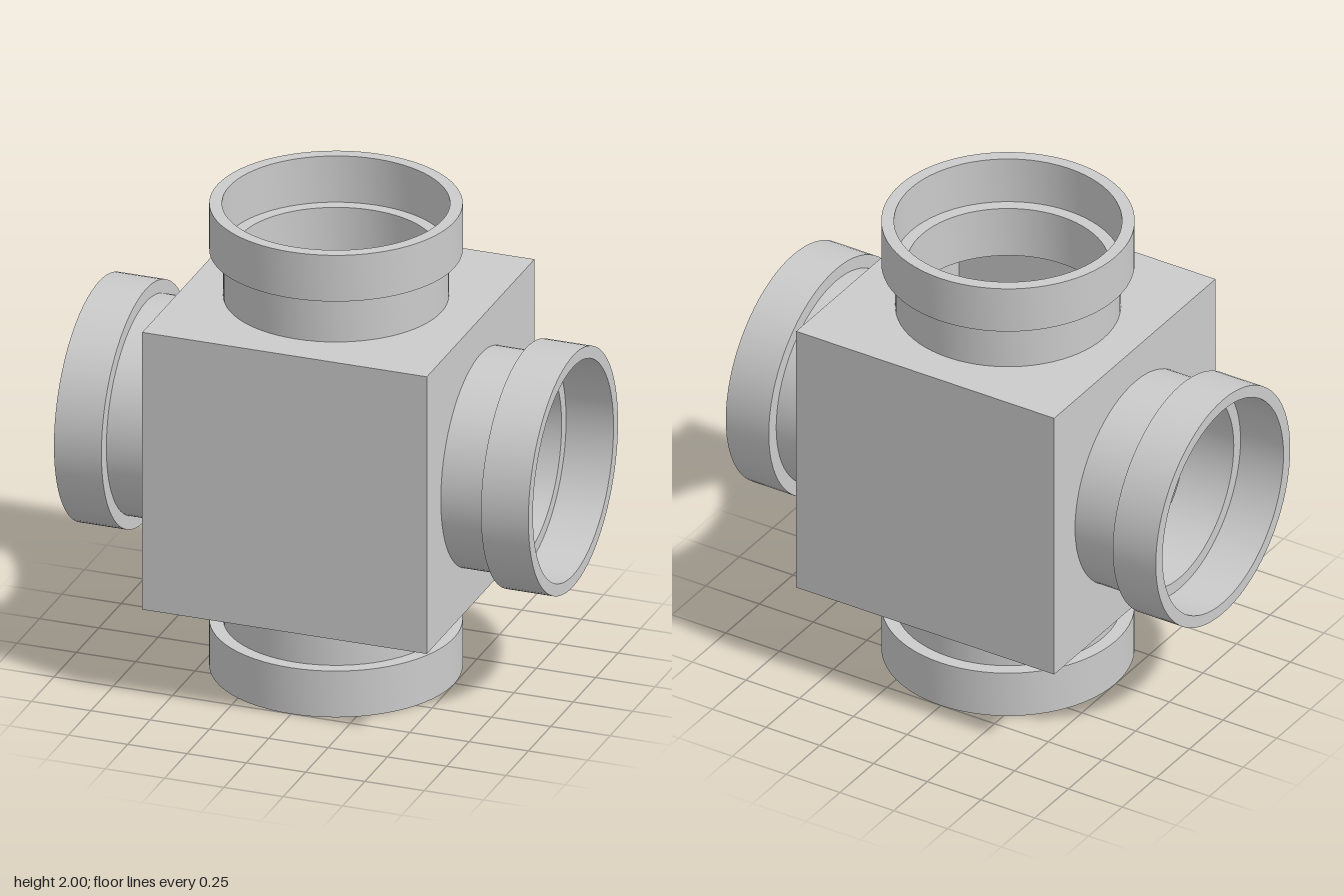
import * as THREE from 'three';
import { toCreasedNormals } from 'three/addons/utils/BufferGeometryUtils.js';

const SIZE = 1.2, WALL = 0.02, SHIFT = 0.01;

// Flat panel facing +y, with a round port through it
function portPanel(width, depth) {
  const shape = new THREE.Shape();
  shape.moveTo(-width / 2, -depth / 2);
  shape.lineTo(width / 2, -depth / 2);
  shape.lineTo(width / 2, depth / 2);
  shape.lineTo(-width / 2, depth / 2);
  shape.closePath();
  shape.holes.push(new THREE.Path().absarc(0, 0, 0.42, 0, Math.PI * 2, true));
  const geo = new THREE.ExtrudeGeometry(shape, { depth: WALL, bevelEnabled: false, curveSegments: 64 });
  return geo.rotateX(-Math.PI / 2).translate(0, SIZE / 2 - WALL, 0);
}

// Neck and wider socket along +y, with an inner stop shoulder
function socketGeometry() {
  const profile = [
    [0.4, 0.58], [0.445, 0.58], [0.445, 0.8], [0.5, 0.8], [0.5, 1],
    [0.45, 1], [0.45, 0.8], [0.4, 0.8], [0.4, 0.58],
  ].map(([r, y]) => new THREE.Vector2(r, y));
  return toCreasedNormals(new THREE.LatheGeometry(profile, 72), 0.5);
}

export function createModel() {
  const model = new THREE.Group();
  model.name = 'fourWayPipeJunction';
  const material = new THREE.MeshStandardMaterial({ color: 0xcccccc });
  const add = (parent, name, geometry) => {
    const mesh = new THREE.Mesh(geometry, material);
    mesh.name = name;
    parent.add(mesh);
    return mesh;
  };

  // Hollow box body
  const body = new THREE.Group();
  body.name = 'boxBody';
  body.position.set(SHIFT, 1, 0);
  model.add(body);

  // Four sockets, each through a ported wall
  const socket = socketGeometry();
  ['top', 'left', 'bottom', 'right'].forEach((side, i) => {
    const angle = -i * Math.PI / 2;
    const width = i % 2 ? SIZE - 2 * WALL : SIZE;
    add(body, side + 'Wall', portPanel(width, SIZE)).rotation.z = angle;
    const pipe = add(model, side + 'Socket', socket);
    pipe.rotation.z = angle;
    pipe.position.y = 1;
  });

  // Closed front and back walls
  const inner = SIZE - 2 * WALL;
  const plate = new THREE.BoxGeometry(inner, inner, WALL);
  for (const s of [1, -1]) {
    add(body, s > 0 ? 'frontWall' : 'backWall', plate).position.z = s * (SIZE - WALL) / 2;
  }
  return model;
}
